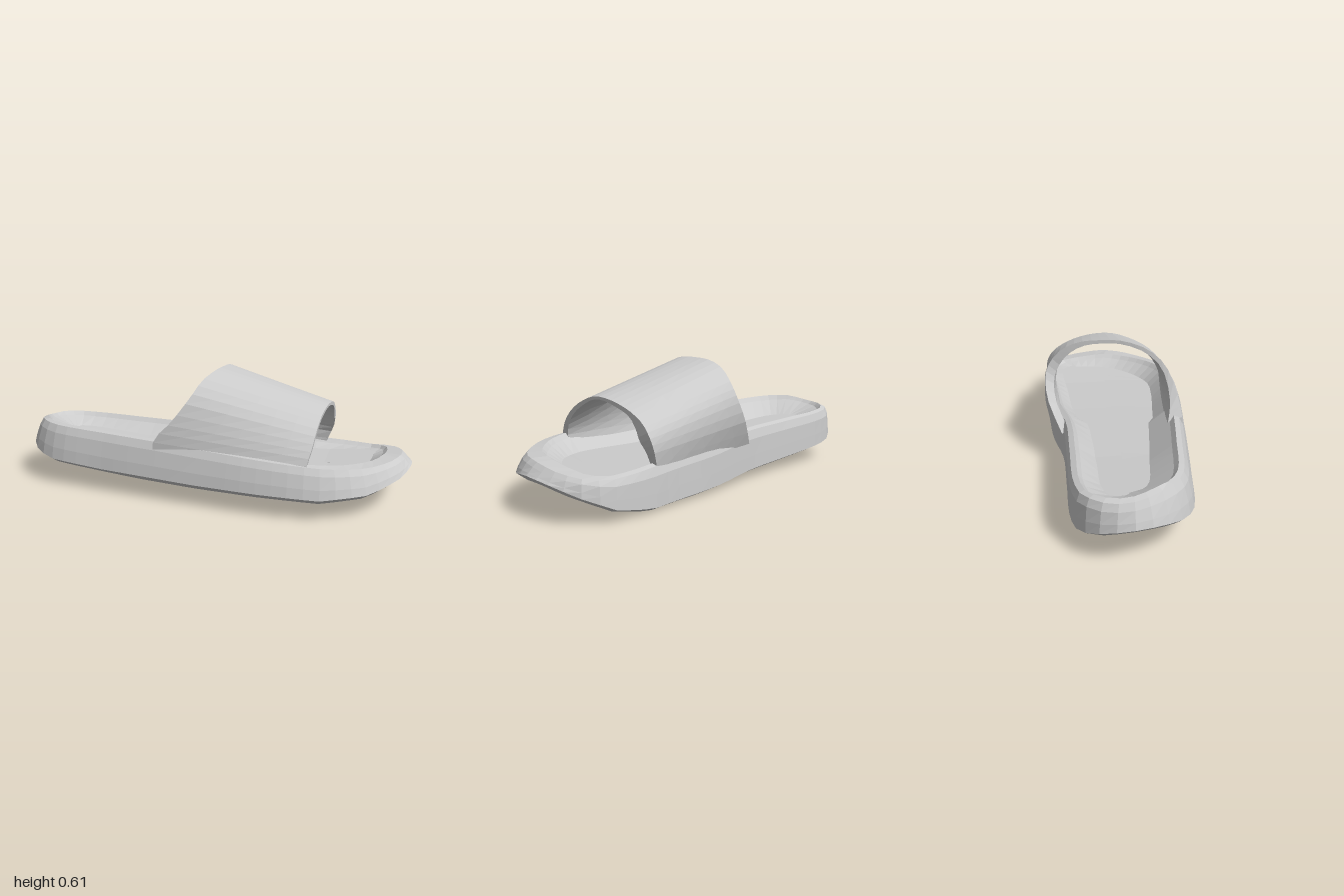
import * as THREE from 'three';

const material = new THREE.MeshStandardMaterial({ color: 0xcccccc, flatShading: true, side: THREE.DoubleSide });

// piecewise-linear lookup through [x, value] pairs
function lookup(pairs, x) {
  if (x <= pairs[0][0]) return pairs[0][1];
  for (let i = 1; i < pairs.length; i++) {
    const [x0, a] = pairs[i - 1], [x1, b] = pairs[i];
    if (x <= x1) return a + (b - a) * (x - x0) / (x1 - x0);
  }
  return pairs[pairs.length - 1][1];
}

// skin a list of closed rows of [x, y, z] points
function loft(name, rows) {
  const n = rows[0].length, index = [];
  for (let i = 0; i < rows.length - 1; i++) {
    for (let j = 0; j < n; j++) {
      const k = (j + 1) % n;
      const a = i * n + j, b = i * n + k, c = b + n, d = a + n;
      index.push(a, b, c, a, c, d);
    }
  }
  const geometry = new THREE.BufferGeometry();
  geometry.setAttribute('position', new THREE.Float32BufferAttribute(rows.flat(2), 3));
  geometry.setIndex(index);
  geometry.computeVertexNormals();
  const mesh = new THREE.Mesh(geometry, material);
  mesh.name = name;
  return mesh;
}

// sole outline seen from above, [x, z], from heel along the front side to the toe and back
const OUTLINE = [
  [-1, -0.09], [-0.975, 0.02], [-0.91, 0.12], [-0.8, 0.19], [-0.5, 0.25], [-0.2, 0.3], [0.05, 0.338],
  [0.3, 0.374], [0.5, 0.384], [0.62, 0.37], [0.75, 0.318], [0.87, 0.22], [0.95, 0.11], [0.995, -0.03],
  [0.995, -0.18], [0.95, -0.29], [0.87, -0.35], [0.72, -0.372], [0.45, -0.36], [0.15, -0.35], [-0.1, -0.315],
  [-0.4, -0.32], [-0.72, -0.327], [-0.86, -0.3], [-0.955, -0.22],
];

// heights of the underside, rim and footbed
const KEEL = [[-1, 0.165], [-0.9, 0.11], [-0.8, 0.08], [-0.5, 0.055], [0, 0.02], [0.3, 0.008], [0.6, 0.003], [0.8, 0.045], [0.95, 0.12], [1, 0.16]];
const ROLL = [[-0.37, 0], [-0.2, 0.003], [0, 0.02], [0.1, 0.028], [0.25, 0.05], [0.385, 0.09]];
const RIM = [[-1, 0.29], [-0.9, 0.318], [-0.2, 0.292], [0.5, 0.252], [0.8, 0.232], [0.95, 0.236], [1, 0.22]];
const BED = [[-0.8, 0.225], [-0.4, 0.19], [0.2, 0.165], [0.6, 0.165], [0.85, 0.18]];
const under = (x, z) => lookup(KEEL, x) + lookup(ROLL, z);
const rim = (x, z) => lookup(RIM, x) + 0.13 * Math.min(z, 0);
const bed = (x) => lookup(BED, x);

function makeSole() {
  const curve = new THREE.CatmullRomCurve3(OUTLINE.map(([x, z]) => new THREE.Vector3(x, 0, z)), true);
  const samples = [];
  for (let i = 0; i < 64; i++) {
    const p = curve.getPointAt(i / 64), t = curve.getTangentAt(i / 64);
    samples.push({ x: p.x, z: p.z, nx: -t.z, nz: t.x });
  }
  const ring = (inset, height) => samples.map((s) => {
    const d = inset(s), x = s.x - s.nx * d, z = s.z - s.nz * d;
    return [x, height(x, z), z];
  });
  // centre line that closes the underside and the footbed
  const spine = (height) => samples.map((s) => {
    const x = THREE.MathUtils.clamp(s.x, -0.72, 0.68), z = -0.045 + 0.04 * x;
    return [x, height(x, z), z];
  });
  // the wall leans inward everywhere except on the straight inner side
  const lean = (s) => (s.nz < 0 ? 1 + 0.85 * s.nz : 1);
  const toe = (s) => 0.05 * Math.max(s.nx, 0);
  // the footbed slopes up to the rim, more broadly at the ends and the outer side
  const slope = (s) => 0.135 + 0.025 * s.nz + 0.06 * Math.abs(s.nx) + (s.x < 0 ? 0.025 : 0);
  const wall = (f) => (x, z) => THREE.MathUtils.lerp(under(x, z), rim(x, z), f);
  return loft('sole', [
    spine(under),
    ring(() => 0.13, under),
    ring(() => 0.035, under),
    ring(() => 0, wall(0.09)),
    ring((s) => 0.01 * lean(s), wall(0.4)),
    ring((s) => 0.03 * lean(s), wall(0.78)),
    ring((s) => 0.012 + 0.038 * lean(s), wall(0.97)),
    ring((s) => 0.035 + 0.04 * lean(s) + toe(s), wall(1)),
    ring((s) => 0.055 + 0.04 * lean(s) + toe(s), wall(0.88)),
    ring(slope, bed),
    spine(bed),
  ]);
}

// strap arch, one line per rib from front side to inner side:
// [z, y] at x = 0.05, [z, y] at x = 0.6, rear edge x, front edge x, rear and front thickness
const RIBS = [
  [0.295, 0.18, 0.352, 0.16, -0.22, 0.53, 0.1, 0.06],
  [0.284, 0.28, 0.33, 0.25, -0.215, 0.535, 0.07, 0.04],
  [0.258, 0.37, 0.287, 0.31, -0.13, 0.55, 0.04, 0.03],
  [0.207, 0.48, 0.22, 0.37, -0.05, 0.56, 0.025, 0.025],
  [0.12, 0.557, 0.13, 0.42, -0.01, 0.57, 0.02, 0.02],
  [0, 0.601, 0.03, 0.455, 0.03, 0.585, 0.018, 0.014],
  [-0.1, 0.608, -0.06, 0.46, 0.045, 0.595, 0.018, 0.014],
  [-0.2, 0.604, -0.16, 0.444, 0.055, 0.6, 0.025, 0.02],
  [-0.29, 0.573, -0.24, 0.415, 0.065, 0.6, 0.04, 0.025],
  [-0.36, 0.5, -0.305, 0.375, 0.075, 0.6, 0.05, 0.05],
  [-0.383, 0.43, -0.345, 0.325, 0.06, 0.6, 0.05, 0.065],
  [-0.376, 0.32, -0.358, 0.26, 0, 0.585, 0.045, 0.05],
  [-0.325, 0.18, -0.345, 0.16, -0.11, 0.55, 0.04, 0.03],
];

function makeStrap() {
  const steps = 6, ribs = 26;
  const lerp = THREE.MathUtils.lerp;
  const loops = RIBS.map(([zA, yA, zB, yB, rear, front, thickRear, thickFront]) => {
    const outer = [], inner = [];
    for (let j = 0; j <= steps; j++) {
      const x = lerp(rear, front, j / steps), f = (x - 0.05) / 0.55;
      const z = lerp(zA, zB, f), y = lerp(yA, yB, f);
      // the lining is offset toward the middle of the foot opening
      const out = new THREE.Vector3(x, y, z);
      const inward = new THREE.Vector3(0, 0.2 - y, -0.04 - z).setLength(lerp(thickRear, thickFront, j / steps));
      outer.push(out);
      inner.unshift(out.clone().add(inward));
    }
    return [...outer, ...inner];
  });
  // round the arch by running a curve through the ribs
  const curves = loops[0].map((_, j) => new THREE.CatmullRomCurve3(loops.map((loop) => loop[j])));
  const rows = [];
  for (let i = 0; i <= ribs; i++) rows.push(curves.map((c) => c.getPoint(i / ribs).toArray()));
  return loft('strap', rows);
}

export function createModel() {
  const group = new THREE.Group();
  group.name = 'slideSandal';
  group.add(makeSole(), makeStrap());
  return group;
}
